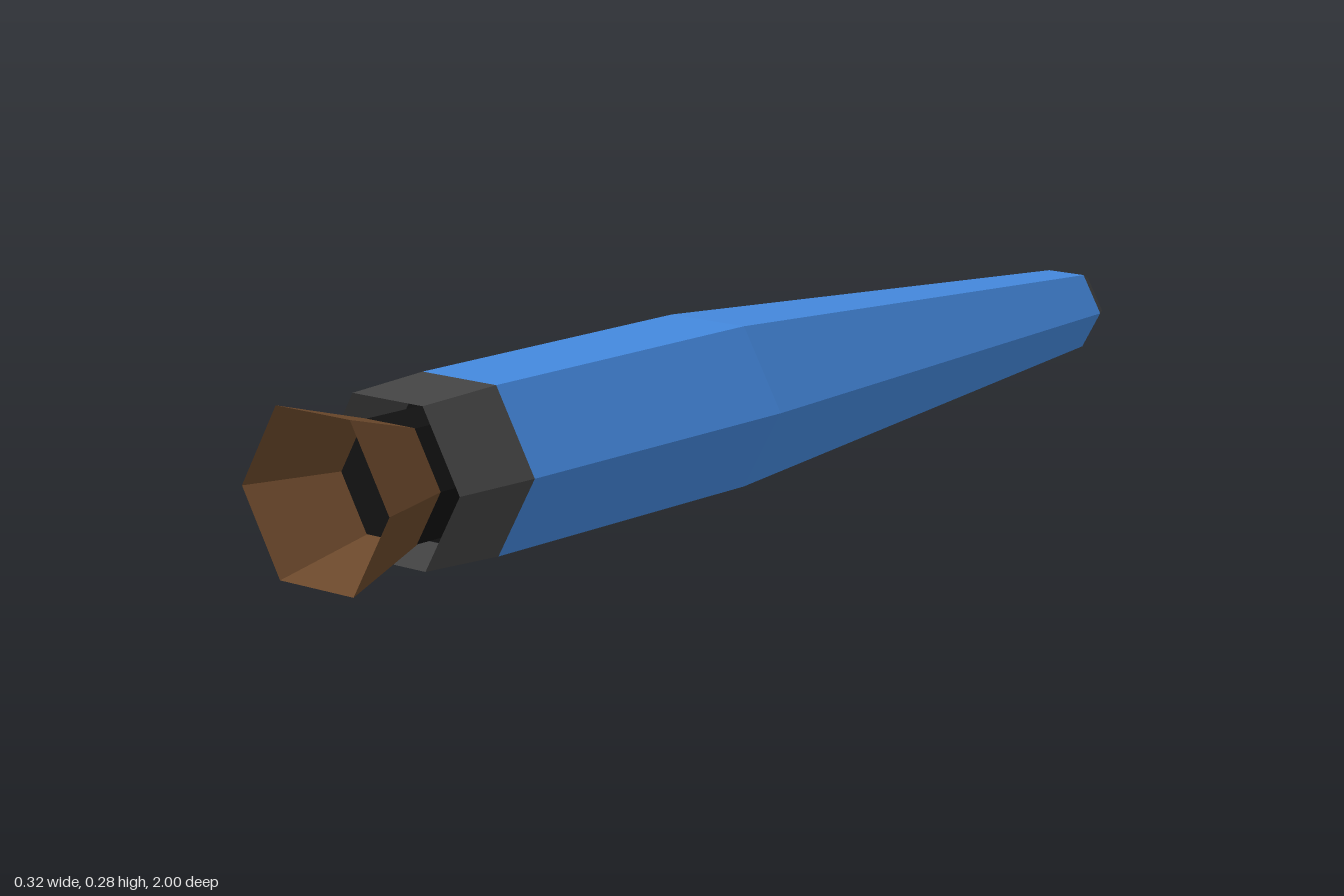
import * as THREE from 'three';

const AXIS_Y = 0.1375;
const SIDES = 6;

const paint = (color, side = THREE.FrontSide) =>
  new THREE.MeshStandardMaterial({ color, side, flatShading: true });

const blue = paint(0x4488dd);
const grey = paint(0x444444);
const greyShell = paint(0x444444, THREE.DoubleSide);
const brownShell = paint(0x6b482b, THREE.DoubleSide);
const black = paint(0x111111);

// Six-sided frustum along z, with a corner on each side (+x and -x)
function hexSection(name, zFront, rFront, zBack, rBack, material, open = true) {
  const geometry = new THREE.CylinderGeometry(rFront, rBack, zFront - zBack, SIDES, 1, open);
  geometry.rotateY(Math.PI / 2).rotateX(Math.PI / 2);
  const mesh = new THREE.Mesh(geometry, material);
  mesh.name = name;
  mesh.position.set(0, AXIS_Y, (zFront + zBack) / 2);
  return mesh;
}

// Flat hexagon facing the front
function hexPlate(name, z, r, material) {
  const mesh = new THREE.Mesh(new THREE.CircleGeometry(r, SIDES), material);
  mesh.name = name;
  mesh.position.set(0, AXIS_Y, z);
  return mesh;
}

export function createModel() {
  const group = new THREE.Group();
  group.name = 'hexagonalRocket';
  group.add(
    // Hull: straight section, long taper and blunt tip
    hexSection('mainBody', 0.68, 0.159, 0.075, 0.159, blue),
    hexSection('taperedBody', 0.075, 0.159, -0.975, 0.079, blue),
    hexSection('noseTip', -0.975, 0.079, -1, 0.066, grey, false),
    // Hollow collar with a dark bulkhead at its bottom
    hexSection('collar', 0.84, 0.151, 0.68, 0.159, greyShell),
    hexPlate('bulkhead', 0.681, 0.158, black),
    // Flared bell on its dark throat
    hexSection('throat', 0.838, 0.106, 0.681, 0.106, black, false),
    hexSection('bell', 1, 0.159, 0.836, 0.107, brownShell),
  );
  return group;
}
